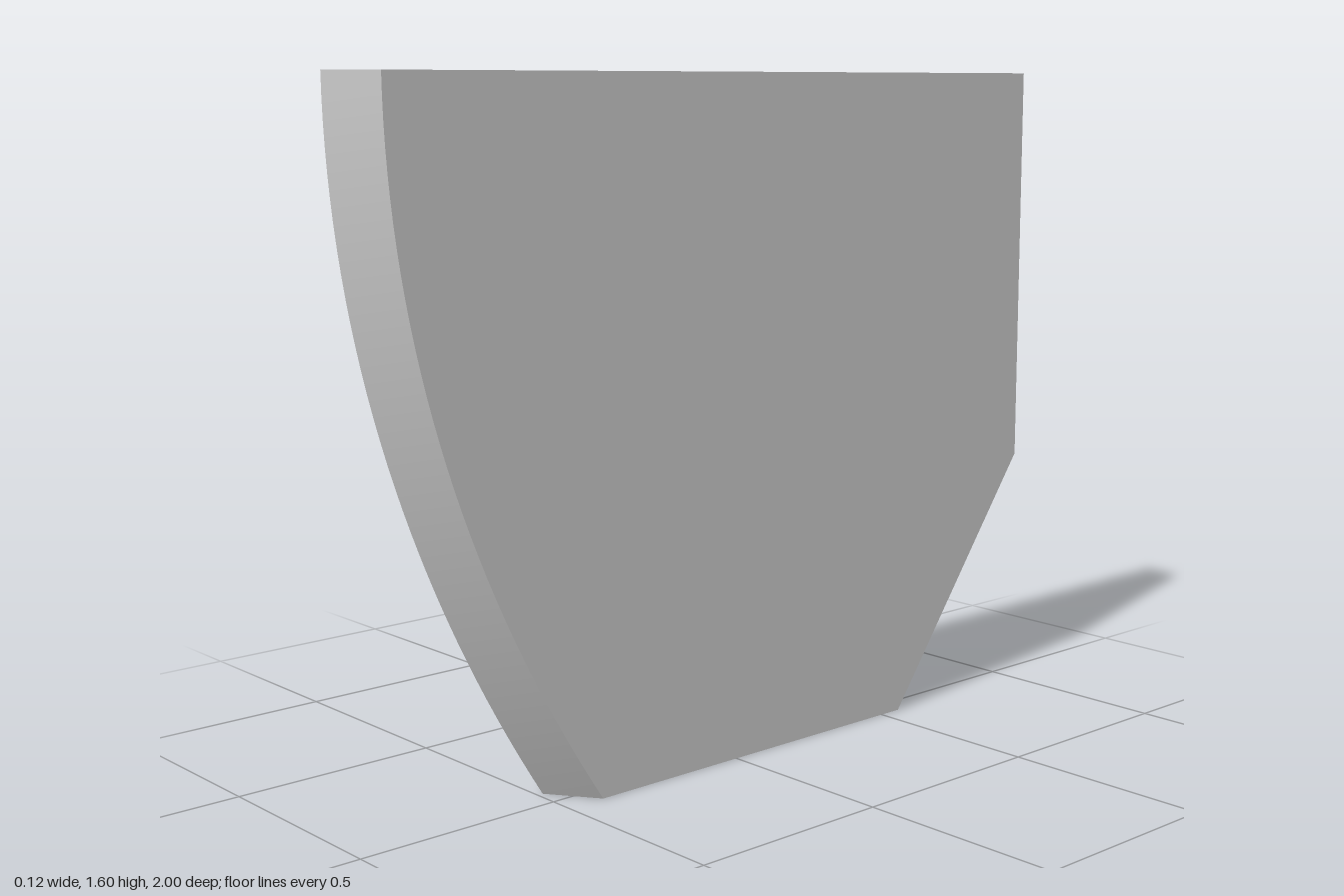
import * as THREE from 'three';
import { toCreasedNormals } from 'three/addons/utils/BufferGeometryUtils.js';

const HEIGHT = 1.6, HALF_THICKNESS = 0.058, STEPS = 32;

// Outline of one face: curved front edge from top to bottom, then the cut back corner.
function outline(x, frontTop, frontBottom, backBottom, cornerY) {
  const points = [];
  for (let i = 0; i <= STEPS; i++) {
    const t = i / STEPS;
    const z = frontTop + (frontBottom - frontTop) * t * t;
    points.push(new THREE.Vector3(x, HEIGHT * (1 - t), z));
  }
  points.push(
    new THREE.Vector3(x, 0, backBottom),
    new THREE.Vector3(x, cornerY, -1),
    new THREE.Vector3(x, HEIGHT, -1)
  );
  return points;
}

// Joins two matching convex outlines into a closed solid.
function loft(a, b) {
  const triangles = [];
  const n = a.length;
  for (let i = 0; i < n; i++) {
    const j = (i + 1) % n;
    triangles.push(a[i], b[i], b[j], a[i], b[j], a[j]);
    if (i > 0 && j > 0) triangles.push(a[0], a[i], a[j], b[0], b[j], b[i]);
  }
  const geometry = new THREE.BufferGeometry().setFromPoints(triangles);
  return toCreasedNormals(geometry, 0.3);
}

export function createModel() {
  const group = new THREE.Group();
  group.name = 'panel';

  // Flat plate with bevelled front and lower back edges
  const leftFace = outline(HALF_THICKNESS, 0.936, 0.405, -0.56, 0.61);
  const rightFace = outline(-HALF_THICKNESS, 1, 0.486, -0.487, 0.64);
  const plate = new THREE.Mesh(
    loft(leftFace, rightFace),
    new THREE.MeshStandardMaterial({ color: 0xcccccc })
  );
  plate.name = 'plate';
  group.add(plate);
  return group;
}
